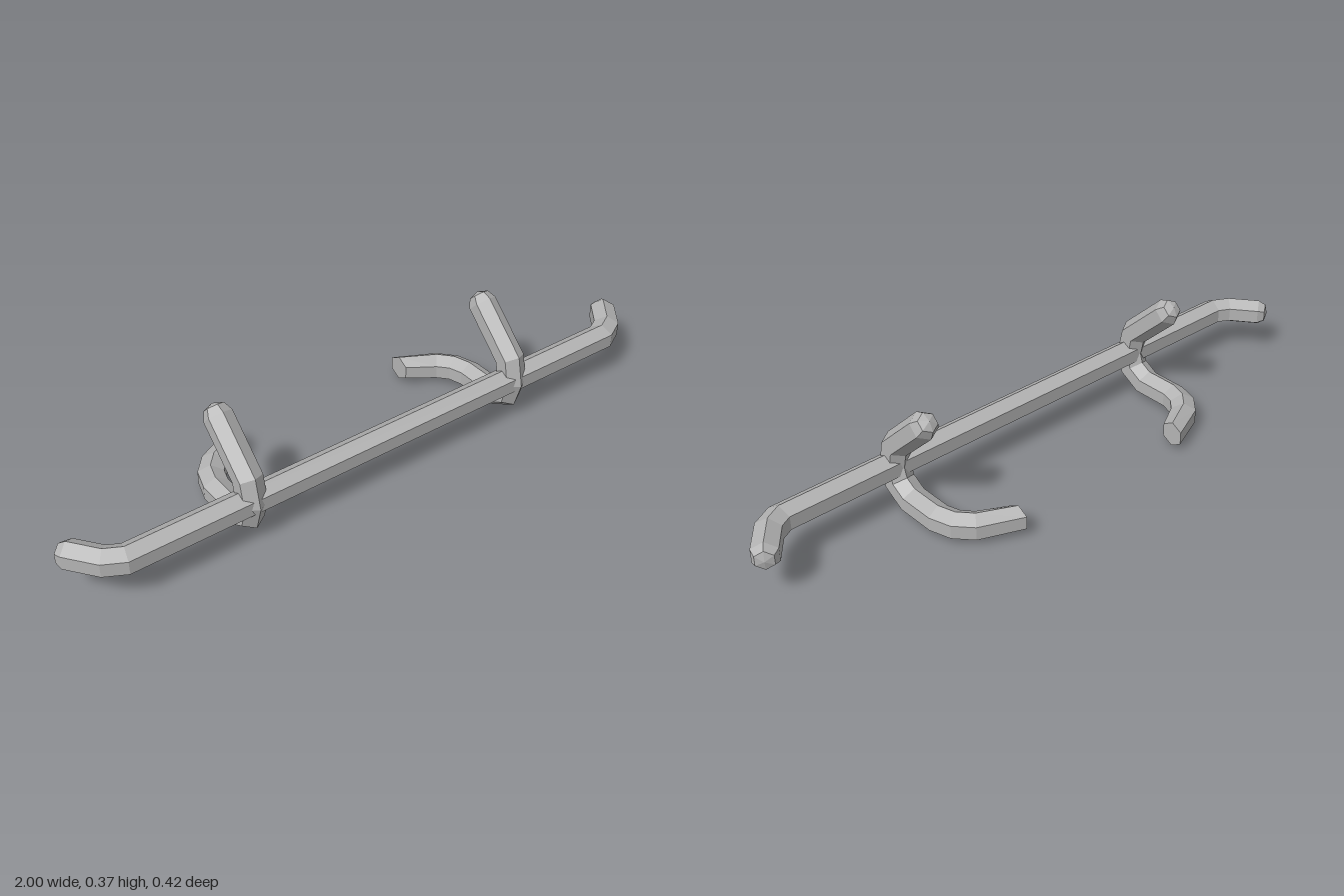
import * as THREE from 'three';

const R = 0.043; // hexagon corner radius

// Sweeps a hexagonal tube along points [x, y, z, scale = 1], with mitred bends.
// Runs with no sideways motion keep their flats on x; other runs keep a corner upward.
function hexTube(points, { bulge = [0, 0], endTangent = null } = {}) {
  const P = points.map(p => new THREE.Vector3(p[0], p[1], p[2]));
  const last = P.length - 1;
  const seg = i => P[i + 1].clone().sub(P[i]).normalize();
  const tangents = [];
  const rings = P.map((p, i) => {
    const before = seg(Math.max(i - 1, 0));
    const after = seg(Math.min(i, last - 1));
    const T = before.clone().add(after).normalize();
    if (i === last && endTangent) T.copy(endTangent);
    tangents.push(T);
    const miter = 1 / before.dot(i === last ? before : T);
    const size = R * (points[i][3] ?? 1);
    const U = new THREE.Vector3(0, 1, 0);
    const S = new THREE.Vector3(1, 0, 0);
    if (Math.abs(T.x) < 1e-4) U.crossVectors(S, T).multiplyScalar(miter);
    else S.crossVectors(T, U).normalize().multiplyScalar(miter);
    return Array.from({ length: 6 }, (_, j) => {
      const a = j * Math.PI / 3;
      return p.clone().addScaledVector(U, size * Math.cos(a)).addScaledVector(S, size * Math.sin(a));
    });
  });

  const pos = [];
  const tri = (...v) => v.forEach(q => pos.push(q.x, q.y, q.z));
  const tipA = P[0].clone().addScaledVector(tangents[0], -bulge[0]);
  const tipB = P[last].clone().addScaledVector(tangents[last], bulge[1]);
  for (let j = 0; j < 6; j++) {
    const k = (j + 1) % 6;
    for (let i = 0; i < last; i++) {
      const a = rings[i], b = rings[i + 1];
      tri(a[j], a[k], b[k]);
      tri(a[j], b[k], b[j]);
    }
    tri(tipA, rings[0][k], rings[0][j]);
    tri(tipB, rings[last][j], rings[last][k]);
  }
  const g = new THREE.BufferGeometry();
  g.setAttribute('position', new THREE.Float32BufferAttribute(pos, 3));
  g.computeVertexNormals();
  return g;
}

export function createModel() {
  const group = new THREE.Group();
  const metal = new THREE.MeshStandardMaterial({ color: 0xb4b4b4, flatShading: true });
  metal.name = 'light grey metal';
  const add = (name, geometry) => {
    const mesh = new THREE.Mesh(geometry, metal);
    mesh.name = name;
    group.add(mesh);
  };

  // Crossbar with both ends swept back
  const y = 0.133;
  const half = [[0.853, y, 0.162], [0.903, y, 0.135], [0.965, y, 0.055], [0.978, y, 0.037, 0.7]];
  const mirrored = half.map(([x, ...rest]) => [-x, ...rest]).reverse();
  add('crossbar', hexTube([...mirrored, ...half], { bulge: [0.007, 0.007] }));

  // Each bracket leans up and back, and hooks inward underneath
  for (const [side, s] of [['left', 1], ['right', -1]]) {
    const path = [
      [0.47, 0.35, -0.003, 0.7], // rounded tip
      [0.47, 0.331, 0.016],
      [0.47, 0.203, 0.152],
      [0.47, 0.133, 0.167],
      [0.47, 0.077, 0.15],
      [0.47, 0.0435, 0.093],
      [0.47, 0.0435, -0.025],
      [0.453, 0.0435, -0.08],
      [0.415, 0.0435, -0.122],
      [0.307, 0.048, -0.177, 0.95],
    ].map(([x, ...rest]) => [x * s, ...rest]);
    add(side + 'Bracket', hexTube(path, {
      bulge: [0.011, 0],
      endTangent: new THREE.Vector3(-s, 0, 0),
    }));
  }
  return group;
}
